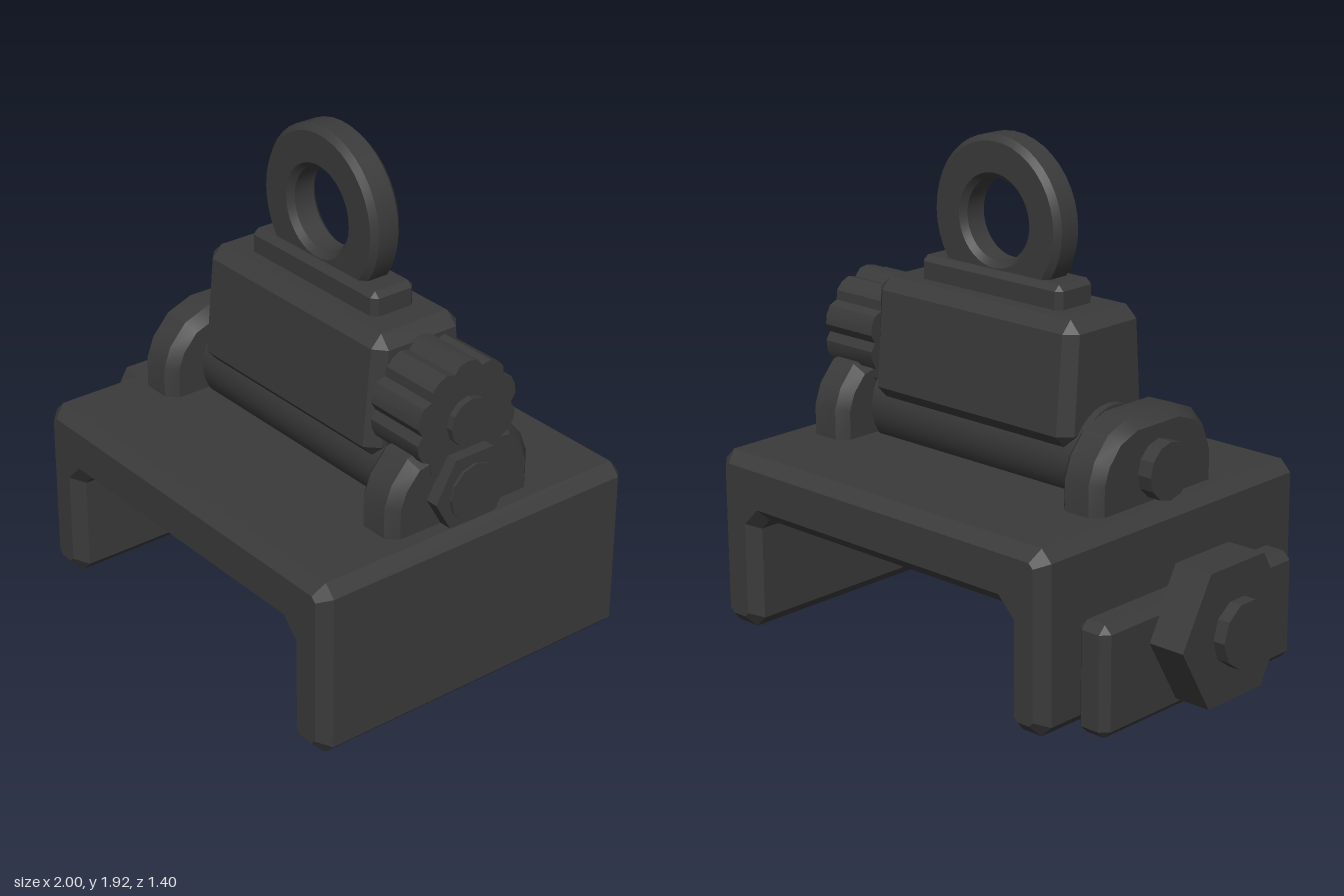
import * as THREE from 'three';
import { toCreasedNormals } from 'three/addons/utils/BufferGeometryUtils.js';
import { ConvexGeometry } from 'three/addons/geometries/ConvexGeometry.js';

const PIN_Y = 0.825;
const KNOB_Y = 1.085;

// Box with every edge chamfered, given as min/max ranges
function chamferBox([x0, x1], [y0, y1], [z0, z1], c) {
  const h = [(x1 - x0) / 2, (y1 - y0) / 2, (z1 - z0) / 2];
  const points = [];
  for (const sx of [-1, 1]) for (const sy of [-1, 1]) for (const sz of [-1, 1]) {
    for (let full = 0; full < 3; full++) {
      const [x, y, z] = h.map((v, i) => (i === full ? v : v - c));
      points.push(new THREE.Vector3(sx * x, sy * y, sz * z));
    }
  }
  return new ConvexGeometry(points).translate((x0 + x1) / 2, (y0 + y1) / 2, (z0 + z1) / 2);
}

// Cylinder or prism lying along x
function rod(x0, x1, y, radius, sides) {
  return new THREE.CylinderGeometry(radius, radius, x1 - x0, sides)
    .rotateZ(Math.PI / 2).translate((x0 + x1) / 2, y, 0);
}

// Outline extruded along z, centred, with chamfered rims
function extrude(points, depth, c) {
  const shape = new THREE.Shape(points.map(([x, y]) => new THREE.Vector2(x, y)));
  return new THREE.ExtrudeGeometry(shape, {
    depth: depth - 2 * c, bevelEnabled: c > 0, bevelThickness: c,
    bevelSize: c, bevelOffset: -c, bevelSegments: 1,
  }).translate(0, 0, -depth / 2 + c);
}

export function createModel() {
  const group = new THREE.Group();
  const metal = new THREE.MeshStandardMaterial({ color: 0x3a3a3a });
  metal.name = 'darkMetal';

  function add(name, geometry) {
    const mesh = new THREE.Mesh(toCreasedNormals(geometry, 0.4), metal);
    mesh.name = name;
    group.add(mesh);
  }

  // Channel-shaped clamp body
  const b = 0.045;
  add('clampBody', extrude([
    [-0.67, 0.02 + b], [-0.67 + b, 0.02], [-0.49 - b, 0.02], [-0.49, 0.02 + b],
    [-0.49, 0.47 - b], [-0.49 + b, 0.47], [0.81 - b, 0.47], [0.81, 0.47 - b],
    [0.81, 0.02 + b], [0.81 + b, 0.02], [1 - b, 0.02], [1, 0.02 + b],
    [1, 0.71 - b], [1 - b, 0.71], [-0.67 + b, 0.71], [-0.67, 0.71 - b],
  ], 1.4, b));

  // Side clamp plate with its nut
  add('sidePlate', chamferBox([-0.8, -0.66], [0.005, 0.425], [-0.525, 0.525], 0.03));
  add('sideNut', rod(-0.95, -0.79, 0.305, 0.293, 6));
  add('sideBolt', rod(-1, -0.94, 0.305, 0.128, 10));

  // Arched lugs that carry the cross pin
  for (const [name, x, top] of [['rightLug', -0.485, 1.03], ['leftLug', 0.805, 1.01]]) {
    const half = [[0.325, 0.62], [0.325, 0.83], [0.295, 0.91], [0.225, 0.99], [0.12, top]];
    const outline = [...half, ...half.map(([z, y]) => [-z, y]).reverse()];
    add(name, extrude(outline, 0.19, 0.04).rotateY(Math.PI / 2).translate(x, 0, 0));
  }

  // Cross pin
  add('pinSleeve', rod(-0.37, 0.69, PIN_Y, 0.19, 32));
  add('crossPin', rod(-0.45, 0.77, PIN_Y, 0.165, 32));
  add('pinHead', rod(-0.64, -0.56, PIN_Y, 0.11, 12));
  add('pinNut', rod(0.88, 0.95, PIN_Y, 0.17, 6));
  add('pinTip', rod(0.94, 0.96, PIN_Y, 0.11, 12));

  // Sight block, narrowing towards its top
  const block = chamferBox([-0.34, 0.665], [0.88, 1.345], [-0.225, 0.225], 0.047);
  const p = block.attributes.position;
  for (let i = 0; i < p.count; i++) {
    p.setZ(i, p.getZ(i) * (1 - 0.15 * (p.getY(i) - 0.92) / 0.38));
  }
  block.computeVertexNormals();
  add('sightBlock', block);

  // Scalloped adjustment knob
  const scallops = [];
  const lobes = 10;
  for (let i = 0; i < lobes; i++) {
    for (const [offset, r] of [[-0.27, 0.222], [0, 0.226], [0.27, 0.222], [0.5, 0.2]]) {
      const a = Math.PI / 2 + (i + offset) / lobes * Math.PI * 2;
      scallops.push([r * Math.cos(a), r * Math.sin(a)]);
    }
  }
  add('knob', extrude(scallops, 0.25, 0).rotateY(Math.PI / 2).translate(0.78, KNOB_Y, 0));
  add('knobBolt', rod(0.89, 0.93, KNOB_Y, 0.092, 12));

  // Aperture ring on its foot
  add('ringFoot', chamferBox([-0.19, 0.515], [1.32, 1.435], [-0.095, 0.095], 0.022));
  const [inner, outer, w, c] = [0.155, 0.315, 0.065, 0.022];
  const section = [
    [inner, -w + c], [inner + c, -w], [outer - c, -w], [outer, -w + c],
    [outer, w - c], [outer - c, w], [inner + c, w], [inner, w - c], [inner, -w + c],
  ].map(([r, y]) => new THREE.Vector2(r, y));
  add('apertureRing', new THREE.LatheGeometry(section, 40)
    .rotateX(Math.PI / 2).translate(0.16, 1.615, 0));

  return group;
}
